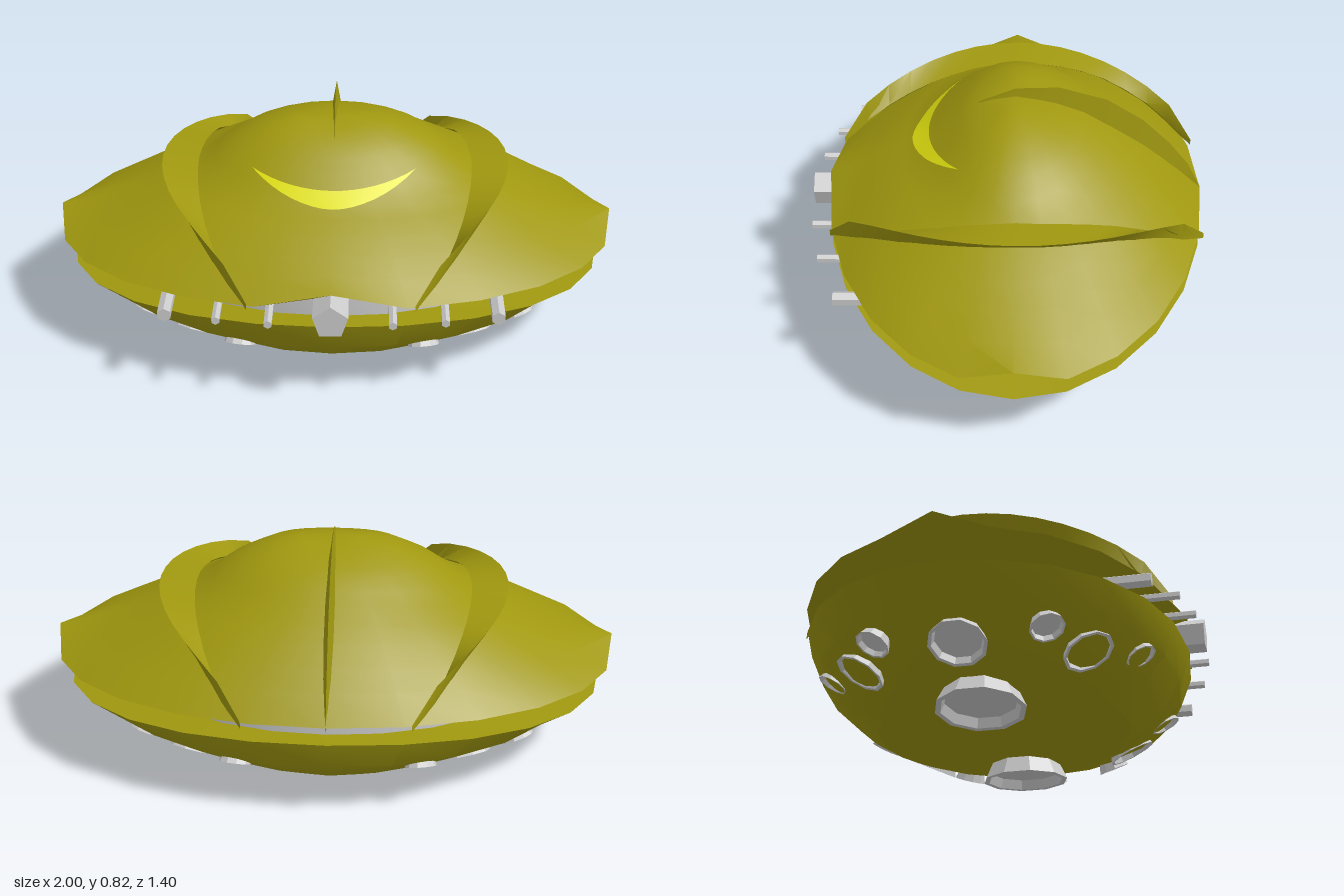
import * as THREE from 'three';
import { toCreasedNormals } from 'three/addons/utils/BufferGeometryUtils.js';

const CZ = -0.03; // centre of the oval plan
const SEGS = 24;
const V = (x, y, z) => new THREE.Vector3(x, y, z);

const hullMat = new THREE.MeshStandardMaterial({ color: 0xa0980f, side: THREE.DoubleSide });
const visorMat = new THREE.MeshStandardMaterial({ color: 0xe0e010, side: THREE.DoubleSide });
const greyMat = new THREE.MeshStandardMaterial({ color: 0xcccccc, side: THREE.DoubleSide });
const greyFlat = new THREE.MeshStandardMaterial({ color: 0xcccccc, side: THREE.DoubleSide, flatShading: true });

// linear interpolation through [x, y] pairs
function interp(pts, x) {
  for (let i = 1; i < pts.length; i++) {
    if (x <= pts[i][0]) {
      const [x0, y0] = pts[i - 1], [x1, y1] = pts[i];
      return y0 + (y1 - y0) * (x - x0) / (x1 - x0);
    }
  }
  return pts[pts.length - 1][1];
}

// skin between rows of points
function loft(rows, closed, crease = 0.5) {
  const n = rows[0].length, pos = [], idx = [];
  rows.forEach(row => row.forEach(p => pos.push(p.x, p.y, p.z)));
  for (let j = 0; j < rows.length - 1; j++) {
    for (let i = 0; i < (closed ? n : n - 1); i++) {
      const a = j * n + i, b = j * n + (i + 1) % n;
      idx.push(a, b, a + n, b, b + n, a + n);
    }
  }
  const g = new THREE.BufferGeometry();
  g.setAttribute('position', new THREE.Float32BufferAttribute(pos, 3));
  g.setIndex(idx);
  return toCreasedNormals(g, crease);
}

// oval ring; y is a number or a function of the angle
function oval(rx, rz, y) {
  return Array.from({ length: SEGS }, (_, i) => {
    const t = i / SEGS * Math.PI * 2;
    return V(rx * Math.cos(t), typeof y === 'function' ? y(t) : y, CZ + rz * Math.sin(t));
  });
}

// dome heights towards the side, front and back
const SIDE = [[0, .79], [.12, .79], [.22, .77], [.35, .71], [.43, .65], [.5, .6], [.62, .545], [.78, .47], [1, .39]];
const FRONT = [[0, .79], [.2, .762], [.35, .69], [.51, .61], [.7, .545], [1, .42]];
const BACK = [[0, .79], [.2, .77], [.36, .73], [.51, .67], [.67, .6], [.85, .5], [1, .4]];

// rim height, with raised tips at both sides and the front
function rimY(t) {
  const s = Math.sin(t), c = Math.cos(t);
  const tip = Math.max(0, 1 - Math.acos(Math.min(1, Math.max(Math.abs(c), s))) / 0.26);
  return 0.36 + 0.035 * s * s + 0.06 * tip;
}

function domeY(x, z) {
  const dz = (z - CZ) / 0.67, r = Math.min(1, Math.hypot(x, dz)), t = Math.atan2(dz, x);
  const k = Math.sin(t) ** 2;
  const prof = q => interp(SIDE, q) * (1 - k) + interp(dz > 0 ? FRONT : BACK, q) * k;
  return prof(r) + (rimY(t) - prof(1)) * r ** 6;
}

export function createModel() {
  const model = new THREE.Group();
  const add = (name, geo, mat, parent = model) => {
    const m = new THREE.Mesh(geo, mat);
    m.name = name;
    parent.add(m);
    return m;
  };

  // upper shell and its underside
  const radii = [0, .12, .22, .3, .36, .43, .51, .6, .68, .78, .88, 1];
  const rings = radii.map(r => oval(r, r * 0.67, 0).map(p => V(p.x, domeY(p.x, p.z), p.z)));
  add('upperShell', loft(rings, true, 0.7), hullMat);
  add('upperShellUnderside', loft([oval(1, .67, rimY),
    oval(.69, .58, t => .355 + .04 * Math.sin(t) ** 2)], true), hullMat);

  // belt between the shells
  const beltY = y => t => y + 0.04 * Math.sin(t) ** 2;
  add('belt', loft([oval(.71, .6, beltY(.37)), oval(.71, .6, beltY(.28))], true), greyMat);

  // lower shell
  const low = t => .265 + .065 * Math.sin(t) ** 2;
  add('lowerShell', loft([
    oval(.68, .58, t => low(t) + .025 * Math.cos(t) ** 2),
    oval(.96, .67, low), oval(.85, .63, .22), oval(.64, .545, .14),
    oval(.42, .45, .075), oval(0, 0, .062),
  ], true), hullMat);

  // crescent fins on both sides of the dome
  for (const s of [1, -1]) {
    const rows = [];
    for (let i = 0; i <= 16; i++) {
      const u = s * (1 - i / 8), w = 1 - u * u, z = -0.035 + 0.655 * u;
      const xi = .28 + .21 * w ** .8, xb = .28 + .28 * w;
      rows.push([V(s * xi, domeY(xi, z) + .004, z),
        V(s * (.28 + .34 * w), .405 + .215 * Math.sqrt(w), z),
        V(s * xb, domeY(xb, z) - .01, z)]);
    }
    add(s > 0 ? 'leftFin' : 'rightFin', loft(rows, true), hullMat);
  }

  // dorsal fin
  const ridge = [[-.7, .4], [-.65, .5], [-.58, .59], [-.48, .69], [-.35, .775], [-.18, .825], [-.03, .82], [.1, .765]];
  add('dorsalFin', loft(ridge.map(([z, y], i) => {
    const w = 0.02 * Math.sin(Math.PI * i / (ridge.length - 1)), b = domeY(0, z) - .02;
    return [V(w, b, z), V(0, y, z), V(-w, b, z)];
  }), true), hullMat);

  // crescent visor lying on the front of the dome
  const onDome = (x, y) => {
    let a = 0, b = 0.6;
    for (let i = 0; i < 30; i++) {
      const m = (a + b) / 2;
      if (domeY(x, m) > y) a = m; else b = m;
    }
    return V(x, y + .006, a + .01);
  };
  const top = [], mid = [], bottom = [];
  for (let i = 0; i <= 16; i++) {
    const s = i / 8 - 1, x = .285 * s, hi = .642 + .03 * s * s, lo = .602 + .07 * s * s;
    top.push(onDome(x, hi));
    mid.push(onDome(x, (hi + lo) / 2));
    bottom.push(onDome(x, lo));
  }
  add('visor', loft([top, mid, bottom].map(r => r.reverse()).reverse(), false), visorMat);

  // thrusters: flared cups with a recessed floor; p is the centre of the mouth
  const thruster = (name, p, dir, r, h) => {
    const pts = [[.75 * r, 0], [r, h], [.88 * r, h], [.8 * r, h * .6], [0, h * .6]].map(q => new THREE.Vector2(...q));
    const m = add(name, new THREE.LatheGeometry(pts, 10), greyFlat);
    dir.normalize();
    m.quaternion.setFromUnitVectors(V(0, 1, 0), dir);
    m.position.copy(p).addScaledVector(dir, -h);
  };
  for (const s of [1, -1]) {
    thruster('mainThruster', V(s * .355, .021, CZ), V(s * .1, -1, 0), .158, .085);
    thruster('sideThruster', V(s * .67, .12, CZ), V(s * .42, -.9, 0), .1, .06);
    for (const f of [1, -1]) {
      thruster('cornerThruster', V(s * .47, .14, CZ + f * .39), V(s * .22, -.88, f * .42), .09, .06);
      thruster('smallThruster', V(s * .315, .178, CZ + f * .54), V(s * .1, -.88, f * .45), .055, .045);
      thruster('smallThruster', V(s * .655, .152, CZ + f * .29), V(s * .35, -.88, f * .3), .06, .045);
    }
  }

  // forward cannons
  const cannon = (name, x, y, z0, z1, r, sides) => {
    const g = new THREE.CylinderGeometry(r, r, z1 - z0, sides);
    g.rotateY(Math.PI).rotateX(Math.PI / 2);
    add(name, g, greyFlat).position.set(x, y, (z0 + z1) / 2);
  };
  cannon('mainCannon', 0, .385, .5, .7, .062, 5);
  for (const s of [1, -1]) {
    cannon('innerCannon', s * .205, .37, .48, .69, .015, 6);
    cannon('middleCannon', s * .38, .36, .42, .655, .015, 6);
    cannon('outerCannon', s * .56, .335, .36, .585, .025, 6);
  }
  return model;
}
